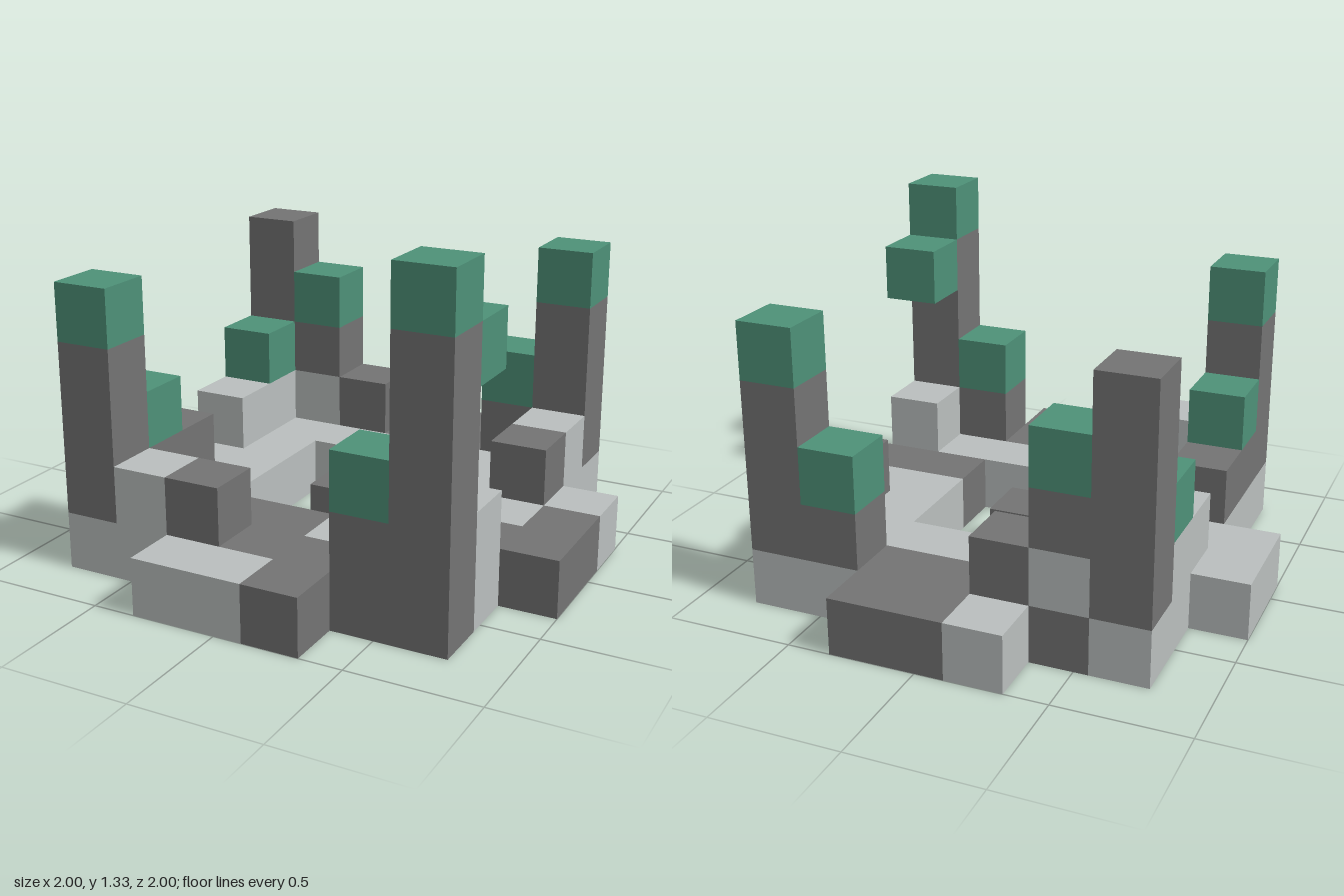
import * as THREE from 'three';
import { mergeGeometries } from 'three/addons/utils/BufferGeometryUtils.js';

const CELL = 2 / 9;

// Ground layer: rows run back to front, columns run from -x to +x
const FLOOR = [
  '...LDD...',
  '.LDLDDLL.',
  '.LLLLLLL.',
  'LLL...LLL',
  'LLL.D.LLD',
  '.LL...DDD',
  '.LLDDLLL.',
  '.LLLDDDD.',
  '...LLD...',
];

// Stacks above the floor: name, column, row, blocks from the second layer up
const STACKS = [
  ['frontLeftTower', 3, 3, 'DDDDG'],
  ['frontRightTower', -3, 3, 'DDDG'],
  ['backLeftTower', 3, -3, 'DDDG'],
  ['backRightTower', -3, -3, 'DDDD'],
  ['frontPost', 2, 3, 'DG'],
  ['leftPostWithFloatingCap', 3, 2, 'L..G'],
  ['rightFrontPost', -3, 2, 'DG'],
  ['rightBackPost', -3, -2, 'LG'],
  ['backRightPost', -2, -3, 'LDG'],
  ['backLeftPost', 2, -3, 'DG'],
  ['frontLightStub', -2, 3, 'L'],
  ['frontDarkStub', -1, 3, 'D'],
  ['backDarkStub', -1, -3, 'D'],
  ['leftLightStub', 3, -2, 'L'],
  ['leftDarkStub', 3, -1, 'D'],
  ['rightLightStub', -3, -1, 'L'],
  ['rightDarkStub', -3, 1, 'D'],
];

// Outward directions of a block's six faces, with the turn for a plane facing +z
const FACES = [
  [[1, 0, 0], 0, Math.PI / 2],
  [[-1, 0, 0], 0, -Math.PI / 2],
  [[0, 1, 0], -Math.PI / 2, 0],
  [[0, -1, 0], Math.PI / 2, 0],
  [[0, 0, 1], 0, 0],
  [[0, 0, -1], 0, Math.PI],
];

export function createModel() {
  const material = (name, color) => {
    const m = new THREE.MeshStandardMaterial({ color });
    m.name = name;
    return m;
  };
  const paints = {
    L: material('lightStone', 0xbabfbe),
    D: material('darkStone', 0x737373),
    G: material('greenCap', 0x4e9178),
  };

  // Collect all blocks by part
  const parts = new Map();
  const filled = new Set();
  const put = (part, x, y, z, kind) => {
    if (kind === '.') return;
    if (!parts.has(part)) parts.set(part, []);
    parts.get(part).push({ x, y, z, kind });
    filled.add([x, y, z].join());
  };
  FLOOR.forEach((row, r) => [...row].forEach((kind, c) => {
    put(r === 4 && c === 4 ? 'centreBlock' : 'floor', c - 4, 0, r - 4, kind);
  }));
  for (const [name, x, z, kinds] of STACKS) {
    [...kinds].forEach((kind, n) => put(name, x, n + 1, z, kind));
  }

  // Only faces that do not touch another block are built
  const exposedFaces = ({ x, y, z }) => FACES
    .filter(([[dx, dy, dz]]) => !filled.has([x + dx, y + dy, z + dz].join()))
    .map(([[dx, dy, dz], rx, ry]) => new THREE.PlaneGeometry(CELL, CELL)
      .rotateX(rx).rotateY(ry)
      .translate((x + dx / 2) * CELL, (y + 0.5 + dy / 2) * CELL, (z + dz / 2) * CELL));

  const model = new THREE.Group();
  model.name = 'blockRuin';
  for (const [name, blocks] of parts) {
    const part = new THREE.Group();
    part.name = name;
    for (const kind of Object.keys(paints)) {
      const faces = blocks.filter((b) => b.kind === kind).flatMap(exposedFaces);
      if (!faces.length) continue;
      const mesh = new THREE.Mesh(mergeGeometries(faces), paints[kind]);
      mesh.name = name + { L: 'Light', D: 'Dark', G: 'Green' }[kind];
      part.add(mesh);
    }
    model.add(part);
  }
  return model;
}
